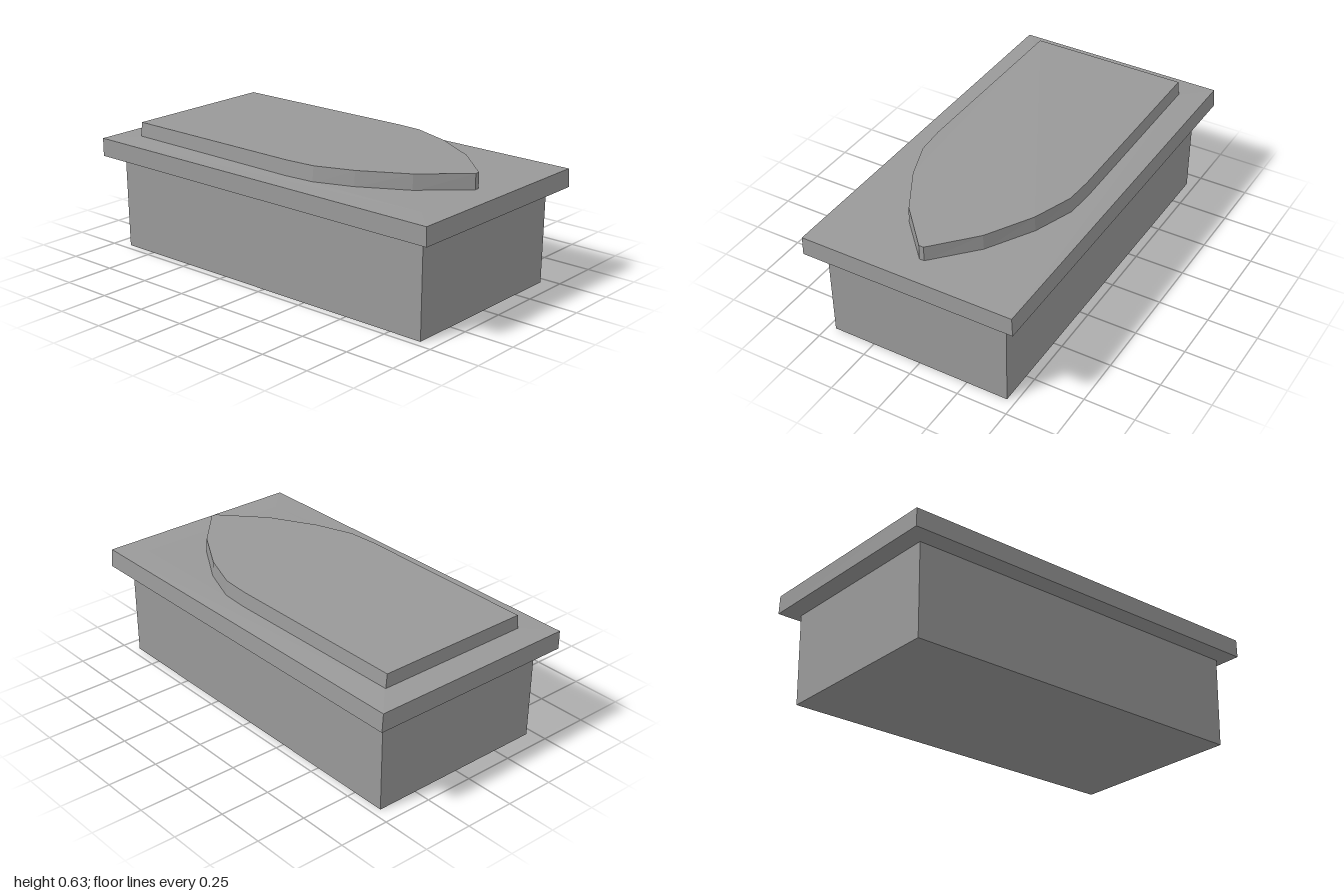
import * as THREE from 'three';

// Skin a stack of convex loops (counter-clockwise from above, bottom to top) and cap both ends.
function loft(loops) {
  const pos = [];
  const tri = (a, b, c) => pos.push(...a, ...b, ...c);
  const n = loops[0].length;
  for (let k = 0; k < loops.length - 1; k++) {
    for (let i = 0; i < n; i++) {
      const j = (i + 1) % n;
      const [lo, hi] = [loops[k], loops[k + 1]];
      tri(lo[i], lo[j], hi[j]);
      tri(lo[i], hi[j], hi[i]);
    }
  }
  const bottom = loops[0], top = loops[loops.length - 1];
  for (let i = 1; i < n - 1; i++) {
    tri(bottom[0], bottom[i + 1], bottom[i]);
    tri(top[0], top[i], top[i + 1]);
  }
  const geo = new THREE.BufferGeometry();
  geo.setAttribute('position', new THREE.Float32BufferAttribute(pos, 3));
  geo.computeVertexNormals();
  return geo;
}

// Rectangle loop; the back edge may sit at its own height.
const rect = (x0, x1, z0, z1, y, yBack = y) =>
  [[x0, yBack, z0], [x0, y, z1], [x1, y, z1], [x1, yBack, z0]];

export function createModel() {
  const group = new THREE.Group();
  const grey = new THREE.MeshStandardMaterial({ color: 0x999999 });
  grey.name = 'stone grey';
  grey.flatShading = true;

  const add = (name, loops) => {
    const mesh = new THREE.Mesh(loft(loops), grey);
    mesh.name = name;
    group.add(mesh);
  };

  // Box-shaped base, very slightly wider at the bottom
  add('base', [
    rect(-0.463, 0.458, -0.917, 0.92, 0),
    rect(-0.465, 0.46, -0.923, 0.925, 0.455),
  ]);

  // Overhanging lid with a sloped underside and a top that rises a little at the back
  add('lid', [
    rect(-0.465, 0.46, -0.923, 0.925, 0.454),
    rect(-0.54, 0.536, -1, 1, 0.469),
    rect(-0.54, 0.53, -1, 0.998, 0.559),
    rect(-0.41, 0.405, -0.87, 0.87, 0.56, 0.566),
  ]);

  // Raised panel with a pointed front
  const outline = [
    [-0.4, -0.868], [-0.405, 0.1], [-0.393, 0.25], [-0.325, 0.435], [-0.198, 0.66],
    [-0.012, 0.862], [0.012, 0.862], [0.19, 0.665], [0.318, 0.44], [0.388, 0.24],
    [0.396, 0.1], [0.39, -0.868],
  ];
  add('raisedPanel', [
    outline.map(([x, z]) => [x * 1.02, 0.556, z]),
    outline.map(([x, z]) => [x, 0.635, z]),
  ]);

  return group;
}
